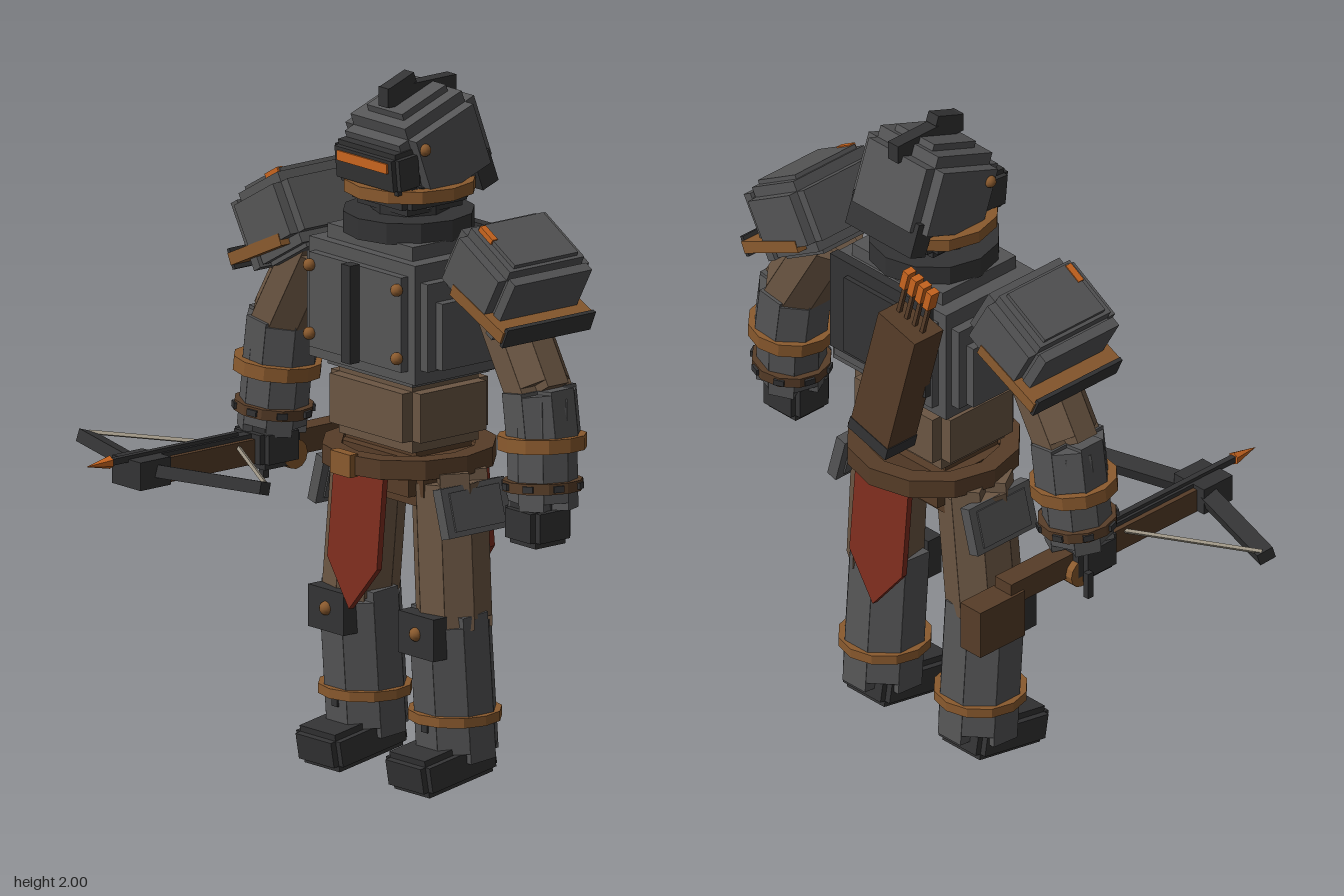
import * as THREE from 'three';

const mat = (name, color) => {
  const m = new THREE.MeshStandardMaterial({ color });
  m.name = name;
  return m;
};
const steel = mat('steel', 0x555556), dark = mat('dark iron', 0x333334), padding = mat('padded cloth', 0x6b5643);
const leather = mat('leather', 0x573d28), brass = mat('brass', 0x8a5a2e), orange = mat('orange', 0xc9651f);
const red = mat('red cloth', 0x7d2d1e), cord = mat('bow cord', 0x9c9484);
const V = (x, y, z) => new THREE.Vector3(x, y, z);
const UP = V(0, 1, 0);

function add(parent, name, geo, material, x = 0, y = 0, z = 0, rx = 0, ry = 0, rz = 0) {
  const m = new THREE.Mesh(geo, material);
  m.name = name;
  m.position.set(x, y, z);
  m.rotation.set(rx, ry, rz);
  parent.add(m);
  return m;
}
function group(parent, name, x = 0, y = 0, z = 0, rx = 0, ry = 0, rz = 0) {
  const g = new THREE.Group();
  g.name = name;
  g.position.set(x, y, z);
  g.rotation.set(rx, ry, rz);
  parent.add(g);
  return g;
}
const box = (w, h, d) => new THREE.BoxGeometry(w, h, d);
const flat = (geo) => {
  const g = geo.toNonIndexed();
  g.computeVertexNormals();
  return g;
};
const rivet = (parent, x, y, z, r = 0.018) => add(parent, 'rivet', new THREE.SphereGeometry(r, 10, 8), brass, x, y, z);

// Block with stepped edges: three boxes, each full size along one axis
function stepped(parent, name, material, w, h, d, b, ...place) {
  const g = group(parent, name, ...place);
  add(g, name, box(w, h - 2 * b, d - 2 * b), material);
  add(g, name, box(w - 2 * b, h, d - 2 * b), material);
  add(g, name, box(w - 2 * b, h - 2 * b, d), material);
  return g;
}
// Group whose y axis runs from a to b, centred between them
function between(parent, name, a, b) {
  const g = group(parent, name, ...a.clone().add(b).multiplyScalar(0.5).toArray());
  g.quaternion.setFromUnitVectors(UP, b.clone().sub(a).normalize());
  return g;
}
// Eight-sided limb of four crossed slabs with uneven ends
function limb(parent, name, material, a, b, w) {
  const g = between(parent, name, a, b), len = a.distanceTo(b);
  for (let i = 0; i < 4; i++)
    add(g, name, box(w, len * (i % 2 ? 0.86 : 1), w * 0.41), material, 0, 0, 0, 0, i * Math.PI / 4);
  return g;
}
function bar(parent, name, material, a, b, w, d = w) {
  const g = between(parent, name, a, b);
  add(g, name, box(w, a.distanceTo(b), d), material);
}
// Faceted band with a rectangular section
function band(parent, name, material, r, inner, h, ...place) {
  const k = h / 2;
  const pts = [[inner, -k], [r, -k], [r, k], [inner, k], [inner, -k]].map(p => new THREE.Vector2(...p));
  return add(parent, name, flat(new THREE.LatheGeometry(pts, 12)), material, ...place);
}

function buildHead(body) {
  const head = group(body, 'head');
  stepped(head, 'helmet', steel, 0.3, 0.26, 0.29, 0.035, 0, 1.79, -0.17, 0.35);
  add(head, 'helmetCap', box(0.15, 0.05, 0.17), steel, 0, 1.91, -0.135, 0.35);
  stepped(head, 'jaw', dark, 0.25, 0.1, 0.24, 0.02, 0, 1.67, -0.14);
  add(head, 'neckGuard', box(0.26, 0.1, 0.06), dark, 0, 1.715, -0.305, 0.35);
  stepped(head, 'visor', dark, 0.27, 0.12, 0.1, 0.015, 0, 1.752, -0.022, 0.1);
  add(head, 'eyeSlit', box(0.21, 0.028, 0.009), orange, 0, 1.768, 0.032);
  add(head, 'crest', box(0.04, 0.055, 0.25), dark, 0, 1.94, -0.167);
  add(head, 'crestFin', box(0.04, 0.03, 0.1), dark, 0, 1.968, -0.095, 0.35);
  band(head, 'chinRing', brass, 0.185, 0.15, 0.035, 0, 1.682, -0.14);
  for (const s of [-1, 1]) rivet(head, s * 0.15, 1.815, -0.065);
  add(head, 'neck', flat(new THREE.CylinderGeometry(0.11, 0.11, 0.15, 8)), dark, 0, 1.58, -0.14);
}

function buildTorso(body) {
  const torso = group(body, 'torso');
  const z = -0.135;
  add(torso, 'chestSides', box(0.565, 0.19, 0.24), steel, 0, 1.315, z);
  add(torso, 'chestSides', box(0.51, 0.25, 0.3), steel, 0, 1.34, z);
  add(torso, 'chestCore', box(0.45, 0.34, 0.34), steel, 0, 1.345, z);
  add(torso, 'chestPlate', box(0.39, 0.27, 0.39), steel, 0, 1.345, z);
  add(torso, 'chestTop', box(0.36, 0.4, 0.28), steel, 0, 1.355, z);
  add(torso, 'backPlate', box(0.38, 0.3, 0.03), dark, 0, 1.4, -0.335);
  add(torso, 'backPlate', box(0.24, 0.24, 0.04), dark, 0, 1.39, -0.345);
  add(torso, 'chestRidge', box(0.038, 0.28, 0.035), dark, 0, 1.345, 0.077);
  for (const s of [-1, 1]) for (const y of [1.25, 1.445]) rivet(torso, s * 0.185, y, 0.068);
  band(torso, 'gorget', dark, 0.185, 0.1, 0.06, 0, 1.58, z);
  stepped(torso, 'waist', padding, 0.38, 0.21, 0.31, 0.035, 0, 1.065, z);
  stepped(torso, 'pelvis', leather, 0.36, 0.17, 0.26, 0.03, 0, 0.89, z);
  band(torso, 'belt', leather, 0.245, 0.19, 0.055, 0, 0.922, -0.137);
  band(torso, 'beltTrim', brass, 0.23, 0.18, 0.02, 0, 0.9, -0.137);
  add(torso, 'buckle', box(0.085, 0.065, 0.03), brass, 0, 0.922, 0.1);

  // Pointed cloths hanging from the belt
  const shape = new THREE.Shape([[-0.105, 0], [-0.105, -0.26], [0, -0.39], [0.105, -0.26], [0.105, 0]]
    .map(p => new THREE.Vector2(...p)));
  const cloth = new THREE.ExtrudeGeometry(shape, { depth: 0.018, bevelEnabled: false });
  add(torso, 'frontCloth', cloth, red, 0, 0.89, 0.03, -0.09);
  add(torso, 'backCloth', cloth, red, 0, 0.89, -0.335, 0.09);
}

function buildArm(body, s) {
  const arm = group(body, s > 0 ? 'leftArm' : 'rightArm');
  const z = -0.145;
  const pauldron = group(arm, 'pauldron', s * 0.44, 1.515, z, 0, 0, -s * 0.52);
  stepped(pauldron, 'pauldronPlate', steel, 0.25, 0.21, 0.33, 0.03);
  add(pauldron, 'pauldronTop', box(0.17, 0.235, 0.23), steel);
  add(pauldron, 'pauldronRim', box(0.03, 0.2, 0.28), steel, s * 0.12, -0.01, 0);
  add(pauldron, 'pauldronMark', box(0.06, 0.022, 0.02), orange, -s * 0.05, 0.11, 0.11);
  const trim = group(arm, 'pauldronTrim', s * 0.47, 1.425, z, 0, 0, -s * 0.43);
  add(trim, 'trimStrip', box(0.235, 0.035, 0.335), brass);
  add(trim, 'trimEnd', box(0.012, 0.06, 0.32), dark, s * 0.118, 0, 0);

  const shoulder = V(s * 0.385, 1.45, z), elbow = V(s * 0.545, 1.18, z), wrist = V(s * 0.575, 0.87, -0.13);
  limb(arm, 'upperArm', padding, shoulder, elbow, 0.18);
  limb(arm, 'elbow', steel, V(s * 0.54, 1.2, z), V(s * 0.56, 1.06, z), 0.2);
  const fore = limb(arm, 'forearm', steel, V(s * 0.55, 1.18, z), wrist, 0.18);
  band(fore, 'forearmStrap', leather, 0.112, 0.08, 0.03, 0, 0.09, 0);
  band(fore, 'cuffRing', brass, 0.125, 0.08, 0.04, 0, -0.03, 0);
  for (let i = 0; i < 8; i++) {
    const a = i * Math.PI / 4;
    add(fore, 'strapStud', box(0.03, 0.018, 0.012), dark, 0.11 * Math.sin(a), 0.09, 0.11 * Math.cos(a), 0, a);
  }
  stepped(arm, 'hand', dark, 0.145, 0.12, 0.145, 0.018, s * 0.573, 0.832, -0.112);
}

function buildLeg(body, s) {
  const leg = group(body, s > 0 ? 'leftLeg' : 'rightLeg');
  const x = s * 0.19;
  limb(leg, 'thigh', padding, V(s * 0.165, 0.9, -0.14), V(s * 0.2, 0.46, -0.13), 0.2);
  const tasset = group(leg, 'hipPlate', s * 0.265, 0.805, -0.14, 0, 0, s * 0.27);
  add(tasset, 'hipPlate', box(0.035, 0.14, 0.23), steel);
  add(tasset, 'hipPlate', box(0.045, 0.11, 0.18), steel);
  limb(leg, 'shin', steel, V(x, 0.51, -0.12), V(x, 0.09, -0.15), 0.22);
  band(leg, 'ankleRing', brass, 0.132, 0.09, 0.028, x, 0.21, -0.14);
  add(leg, 'ankleStud', box(0.025, 0.03, 0.015), dark, x, 0.185, -0.035);
  add(leg, 'kneePlate', box(0.15, 0.12, 0.05), dark, x, 0.45, -0.022);
  rivet(leg, x, 0.455, 0.002, 0.02);
  stepped(leg, 'boot', dark, 0.185, 0.11, 0.27, 0.018, x, 0.078, -0.09, 0.17);
}

function buildQuiver(body) {
  const q = group(body, 'quiver', -0.115, 1.3, -0.39, 0, 0, 0.27);
  add(q, 'quiverCase', box(0.15, 0.41, 0.11), leather, 0, 0.015);
  add(q, 'quiverBase', box(0.155, 0.04, 0.114), dark, 0, -0.205);
  for (let i = 0; i < 4; i++) {
    const x = -0.048 + i * 0.032;
    add(q, 'arrowShaft', box(0.012, 0.14, 0.012), leather, x, 0.27);
    add(q, 'arrowFletching', box(0.022, 0.06, 0.032), orange, x, 0.345);
  }
}

function buildCrossbow(root) {
  const bow = group(root, 'crossbow', -0.437, 0, 0);
  add(bow, 'stock', box(0.065, 0.07, 0.72), leather, 0, 0.825, -0.06);
  add(bow, 'butt', box(0.08, 0.145, 0.17), leather, 0, 0.753, -0.46);
  add(bow, 'rail', box(0.035, 0.02, 0.4), dark, 0, 0.862, 0.15);
  add(bow, 'prodBlock', box(0.12, 0.08, 0.11), dark, 0, 0.832, 0.345);
  add(bow, 'winch', flat(new THREE.CylinderGeometry(0.042, 0.042, 0.11, 12)), brass, 0, 0.8, -0.17, 0, 0, Math.PI / 2);
  add(bow, 'crank', box(0.018, 0.08, 0.02), dark, -0.08, 0.775, -0.17);
  add(bow, 'trigger', box(0.018, 0.06, 0.02), dark, 0, 0.765, -0.1);
  for (const s of [-1, 1]) {
    bar(bow, 'bowArm', dark, V(0, 0.832, 0.335), V(s * 0.38, 0.832, 0.222), 0.036, 0.05);
    bar(bow, 'bowString', cord, V(s * 0.37, 0.845, 0.215), V(0, 0.845, 0), 0.01);
  }
  bar(bow, 'boltShaft', dark, V(0, 0.873, 0), V(0, 0.873, 0.47), 0.018);
  add(bow, 'boltTip', flat(new THREE.ConeGeometry(0.019, 0.085, 6)), orange, 0, 0.873, 0.503, Math.PI / 2);
}

export function createModel() {
  const root = new THREE.Group();
  root.name = 'armouredCrossbowman';
  const body = group(root, 'body', 0.135, 0, 0);
  buildHead(body);
  buildTorso(body);
  for (const s of [-1, 1]) {
    buildArm(body, s);
    buildLeg(body, s);
  }
  buildQuiver(body);
  buildCrossbow(root);
  return root;
}
